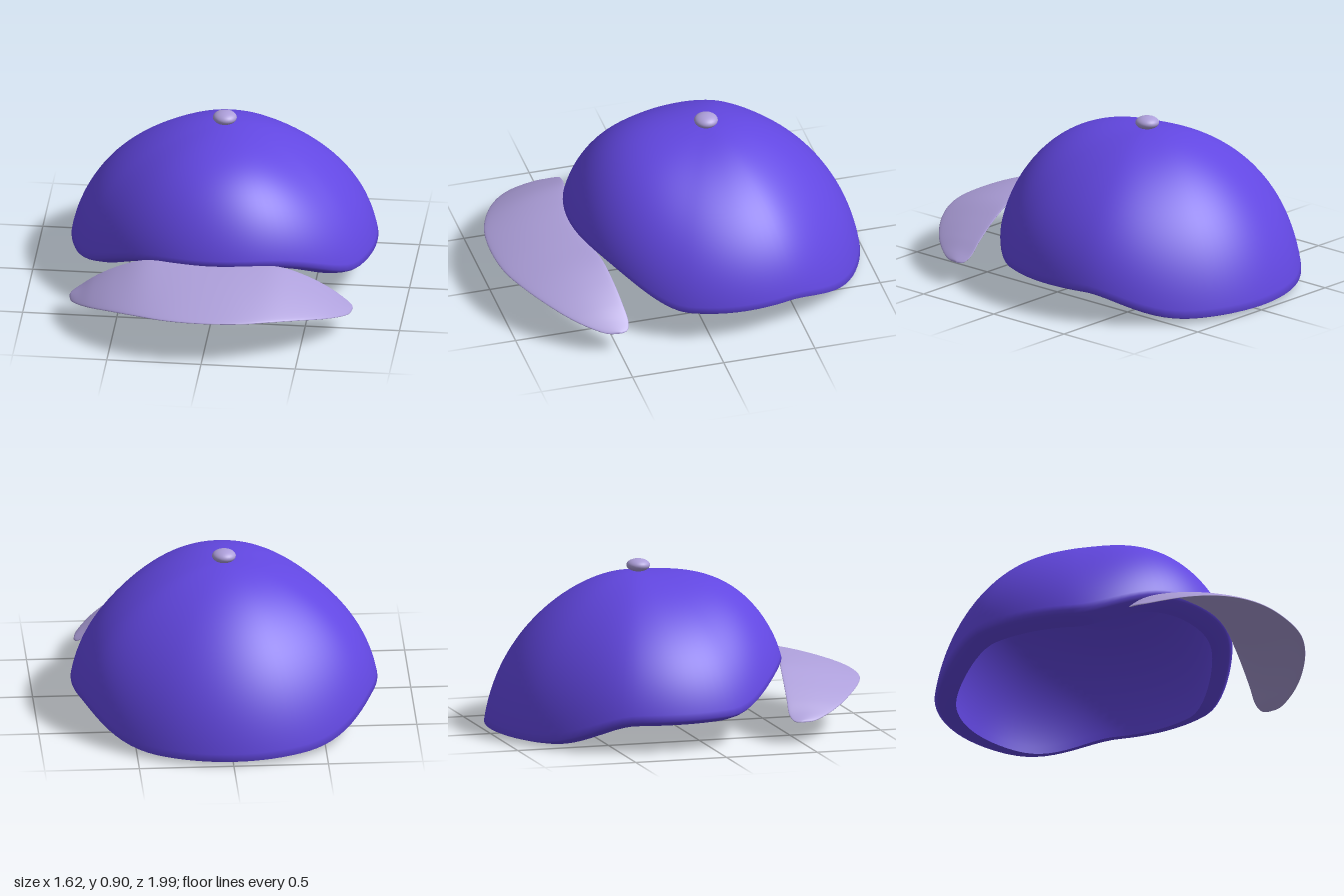
import * as THREE from 'three';
import { mergeVertices } from 'three/addons/utils/BufferGeometryUtils.js';

const CENTRE_Z = -0.19;
const { smoothstep, lerp } = THREE.MathUtils;

// Smooth grid surface from a point function f(u, v), with u and v in 0..1
function surface(f, nu, nv) {
  const pos = [], idx = [];
  for (let j = 0; j <= nv; j++)
    for (let i = 0; i <= nu; i++) pos.push(...f(i / nu, j / nv));
  for (let j = 0; j < nv; j++)
    for (let i = 0; i < nu; i++) {
      const a = j * (nu + 1) + i, b = a + nu + 1;
      idx.push(a, b, a + 1, a + 1, b, b + 1);
    }
  let geo = new THREE.BufferGeometry();
  geo.setAttribute('position', new THREE.Float32BufferAttribute(pos, 3));
  geo.setIndex(idx);
  geo = mergeVertices(geo, 1e-4);
  geo.computeVertexNormals();
  return geo;
}

// Rim rules; c is the cosine of the angle away from the front
const rimRadius = c => 0.81 - 0.05 * smoothstep(c, 0.35, 0.95);
const lipHeight = c => 0.132 + 0.168 * smoothstep(c, 0.38, 1) - 0.128 * smoothstep(-c, 0.28, 0.88);
const rimHeight = c => lipHeight(c) + 0.045 + 0.025 * (c > 0 ? c * c : -c * c * 0.8);

// Dome point at angle a: t = 0 at the crown, 1 at the edge; the front is fuller than the back
function domePoint(a, t, radius, edgeY, topY, end) {
  const c = Math.max(0, Math.cos(a));
  const s = Math.sin(end * t) / Math.sin(end);
  const h = (Math.cos(end * t) - Math.cos(end)) / (1 - Math.cos(end));
  const bulge = lerp(-0.016, 0.038, c * c) * Math.sin(Math.PI * t) ** 2;
  return [Math.sin(a) * radius * s, lerp(edgeY, topY, h) + bulge, CENTRE_Z + Math.cos(a) * radius * s];
}

// Outside of the cap, turning under into a lip
function outerPoint(u, v) {
  const a = u * Math.PI * 2, c = Math.cos(a), split = 0.85;
  const R = rimRadius(c), y = rimHeight(c);
  if (v <= split) return domePoint(a, v / split, R, y, 0.833, 1.4);
  const k = (v - split) / (1 - split), r = R * lerp(1, 0.86, k);
  return [Math.sin(a) * r, lerp(y, lipHeight(c), Math.pow(k, 0.65)), CENTRE_Z + Math.cos(a) * r];
}

// Inside of the cap, from the lip up to the crown
function innerPoint(u, v) {
  const a = u * Math.PI * 2, c = Math.cos(a);
  return domePoint(a, 1 - v, rimRadius(c) * 0.86, lipHeight(c), 0.805, 1.57);
}

// Curve through half an edge, mirrored to the other side
function mirroredCurve(half) {
  const right = half.map(p => new THREE.Vector3(...p));
  const left = right.slice(1).reverse().map(p => new THREE.Vector3(-p.x, p.y, p.z));
  return new THREE.CatmullRomCurve3([...left, ...right]);
}

export function createModel() {
  const purple = new THREE.MeshStandardMaterial({ color: 0x6247e1 });
  purple.name = 'purple cloth';
  const lilac = new THREE.MeshStandardMaterial({ color: 0xad9fda });
  lilac.name = 'lilac trim';

  const model = new THREE.Group();
  model.name = 'cap';
  const add = (name, geo, mat) => {
    const mesh = new THREE.Mesh(geo, mat);
    mesh.name = name;
    model.add(mesh);
    return mesh;
  };

  // Crown shell
  add('crownOutside', surface(outerPoint, 96, 40), purple);
  add('crownLining', surface(innerPoint, 96, 28), purple);

  // Brim: softly rounded sections between a back edge and a front edge
  const back = mirroredCurve([
    [0, 0.36, 0.56], [0.2, 0.358, 0.53], [0.36, 0.342, 0.49], [0.5, 0.285, 0.465],
    [0.62, 0.213, 0.447], [0.7, 0.15, 0.438], [0.74, 0.124, 0.455], [0.752, 0.119, 0.49]]);
  const front = mirroredCurve([
    [0, 0.241, 0.994], [0.2, 0.239, 0.975], [0.36, 0.23, 0.917], [0.5, 0.207, 0.835],
    [0.62, 0.172, 0.735], [0.7, 0.14, 0.635], [0.74, 0.122, 0.56], [0.752, 0.119, 0.49]]);
  const brimPoint = (u, v) => {
    const th = v * Math.PI * 2, k = (1 - Math.cos(th)) / 2, s = Math.sin(th);
    const p = back.getPoint(u).lerp(front.getPoint(u), k);
    const taper = Math.sqrt(Math.max(0, Math.sin(Math.PI * u)));
    p.y += taper * (0.011 * Math.sin(Math.PI * k) + 0.011 * Math.sign(s) * Math.abs(s) ** 0.7);
    return p.toArray();
  };
  add('brim', surface(brimPoint, 84, 48), lilac);

  // Button on the crown
  const button = add('button', new THREE.SphereGeometry(1, 28, 18), lilac);
  button.scale.set(0.063, 0.034, 0.063);
  button.position.set(0, 0.866, -0.186);

  return model;
}
